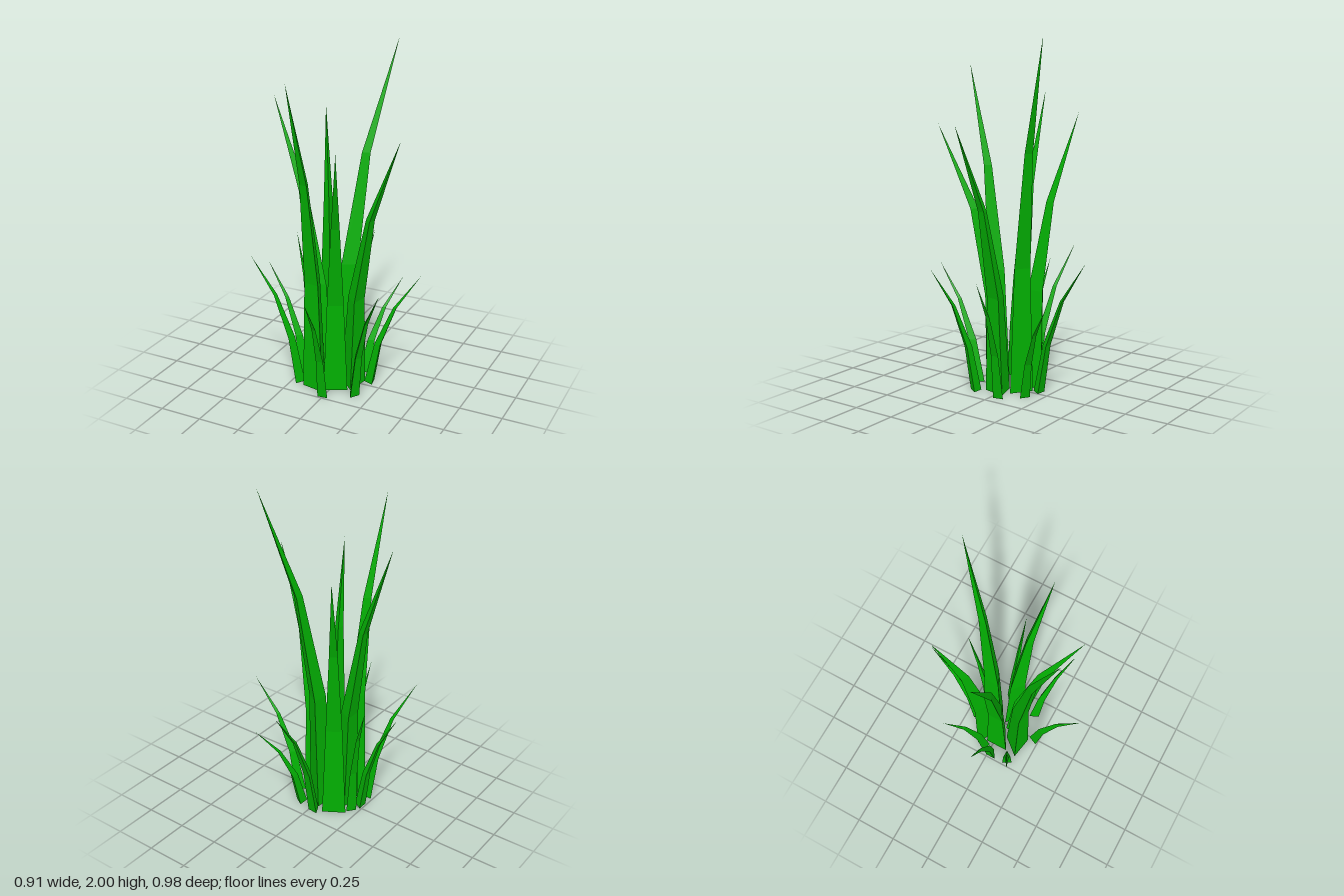
import * as THREE from 'three';

// Root centre (x, z) and tip (x, y, z) of each blade
const tallBlades = [
  [0.005, -0.063, 0.193, 2.0, -0.34],
  [0.086, 0.017, 0.391, 1.535, 0.086],
  [-0.088, 0.135, -0.13, 1.85, 0.374],
  [-0.115, 0.025, -0.397, 1.69, 0.026],
  [-0.115, -0.091, -0.24, 1.58, -0.295],
  [0.014, 0.096, 0.16, 1.515, 0.382],
];
const shortBlades = [
  [0.173, -0.045, 0.455, 0.715, -0.098],
  [0.15, 0.138, 0.368, 0.73, 0.282],
  [0.0, 0.222, 0.026, 0.69, 0.485],
  [-0.209, 0.131, -0.44, 0.805, 0.252],
  [-0.222, 0.025, -0.459, 0.685, 0.025],
  [-0.197, -0.04, -0.385, 0.805, -0.19],
  [-0.03, -0.175, -0.006, 0.79, -0.49],
  [0.085, -0.15, 0.23, 0.56, -0.382],
];

// Per section from root to tip: share of height, share of outward lean, share of radius
const tallRows = [[0, 0, 1], [0.36, 0.07, 0.69], [0.685, 0.38, 0.35], [1, 1, 0]];
const shortRows = [[0, 0, 1], [0.36, 0.17, 0.72], [0.7, 0.5, 0.37], [1, 1, 0]];

// Three-sided blade with its ridge turned inward, bending out toward the tip
function makeBlade([x, z, tipX, tipY, tipZ], radius, rows) {
  const dx = tipX - x, dz = tipZ - z;
  const g = new THREE.CylinderGeometry(0, 1, 1, 3, 3);
  g.rotateY(Math.atan2(-dx, -dz));
  const p = g.attributes.position;
  for (let i = 0; i < p.count; i++) {
    const t = p.getY(i) + 0.5;
    const [rise, lean, size] = rows[Math.round(t * 3)];
    const s = size === 0 ? 0 : (radius * size) / (1 - t);
    p.setXYZ(i, x + dx * lean + p.getX(i) * s, tipY * rise, z + dz * lean + p.getZ(i) * s);
  }
  const flat = g.toNonIndexed();
  flat.computeVertexNormals();
  return flat;
}

export function createModel() {
  const group = new THREE.Group();
  group.name = 'grassTuft';
  const green = new THREE.MeshStandardMaterial({ color: 0x02b002, flatShading: true });

  const addBlades = (list, name, radius, rows) => list.forEach((b, i) => {
    const mesh = new THREE.Mesh(makeBlade(b, radius, rows), green);
    mesh.name = `${name}${i + 1}`;
    group.add(mesh);
  });
  addBlades(tallBlades, 'tallBlade', 0.08, tallRows);
  addBlades(shortBlades, 'shortBlade', 0.035, shortRows);
  return group;
}
